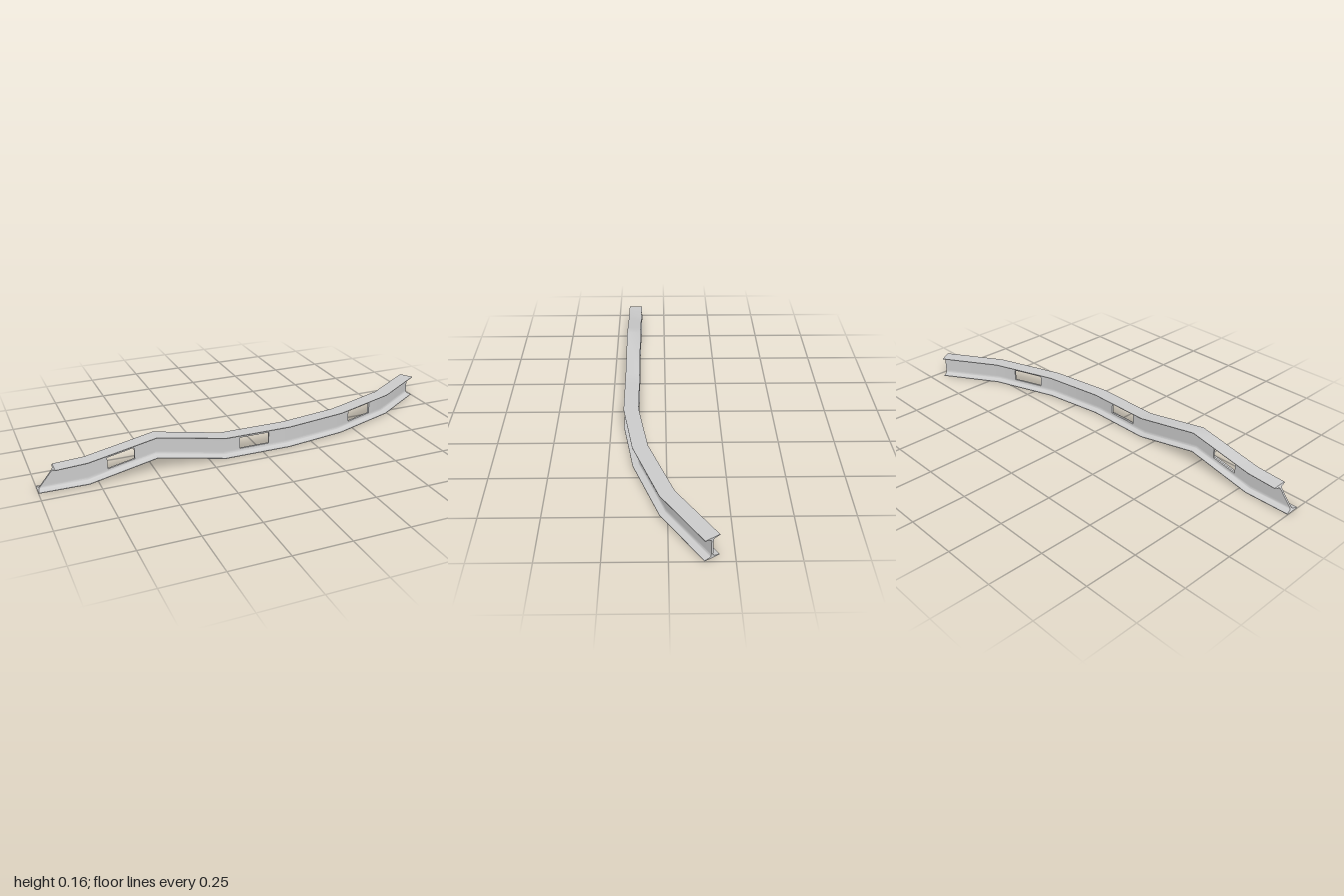
import * as THREE from 'three';
import { toCreasedNormals } from 'three/addons/utils/BufferGeometryUtils.js';

// Path of the beam: x, z of the centre line, bottom and top heights
const PATH = [
  [-1, 0.157, 0.002, 0.093],
  [-0.79, 0.157, 0, 0.1],
  [-0.49, 0.157, 0.063, 0.16],
  [-0.18, 0.157, 0, 0.1],
  [0.13, 0.157, 0, 0.1],
  [0.415, 0.112, 0, 0.1],
  [0.725, 0.002, 0, 0.1],
  [0.98, -0.162, 0, 0.1],
];
// Web openings: start x, end x
const HOLES = [[-0.703, -0.585], [-0.1, 0.04], [0.49, 0.635]];
const END_SLANT = 0.075;

// Half I-section (u across, v as a fraction of height), lower half then mirrored
const LOWER = [
  [0.034, 0], [0.034, 0.03], [0.014, 0.065], [0.0085, 0.085],
  [0.0055, 0.115], [0.0045, 0.16], [0.0045, 0.235],
];
const HALF = [...LOWER, ...LOWER.slice().reverse().map(([u, v]) => [u, 1 - v])];
const RING = [...HALF, ...HALF.slice().reverse().map(([u, v]) => [-u, v])];
const N = RING.length;
const WEB = LOWER.length - 1; // section edge that the openings cut through

// Horizontal normal of path segment i
function segmentNormal(i) {
  const a = PATH[i], b = PATH[i + 1];
  return new THREE.Vector2(-(b[1] - a[1]), b[0] - a[0]).normalize();
}

// Stations: mitred path corners plus the ends of each opening
function makeStations() {
  const stations = [];
  PATH.forEach((p, i) => {
    const last = PATH.length - 1;
    const n0 = segmentNormal(Math.max(i - 1, 0));
    const n1 = segmentNormal(Math.min(i, last - 1));
    const n = n0.clone().add(n1).normalize();
    n.divideScalar(n.dot(n1));
    stations.push({ p, n, slant: i === 0 ? END_SLANT : 0 });
    if (i === last) return;
    const q = PATH[i + 1];
    for (const [x0, x1] of HOLES) {
      if (x0 < p[0] || x1 > q[0]) continue;
      for (const x of [x0, x1]) {
        const t = (x - p[0]) / (q[0] - p[0]);
        const at = p.map((c, k) => c + (q[k] - c) * t);
        stations.push({ p: at, n: n1, slant: 0, holeStart: x === x0 });
      }
    }
  });
  return stations;
}

function beamGeometry() {
  const stations = makeStations();
  const rings = stations.map(({ p: [x, z, y0, y1], n, slant }) =>
    RING.map(([u, v]) => [x + n.x * u + slant * v, y0 + (y1 - y0) * v, z + n.y * u]));
  const pos = [];
  const quad = (a, b, c, d) => pos.push(...a, ...b, ...c, ...a, ...c, ...d);
  // Strip across the section at one height step; sign picks the way it faces
  const cross = (r, k, forward) => {
    const c = [r[N - 1 - k], r[N - 2 - k], r[k + 1], r[k]];
    quad(...(forward ? c : c.reverse()));
  };

  for (let s = 0; s < rings.length - 1; s++) {
    const a = rings[s], b = rings[s + 1];
    const open = stations[s].holeStart;
    for (let i = 0; i < N; i++) {
      if (open && (i === WEB || i === N - 2 - WEB)) continue;
      const j = (i + 1) % N;
      quad(a[i], b[i], b[j], a[j]);
    }
    // Walls of the opening
    if (open) {
      const lo = WEB, hi = WEB + 1;
      quad(a[lo], b[lo], b[N - 1 - lo], a[N - 1 - lo]);
      quad(a[N - 1 - hi], b[N - 1 - hi], b[hi], a[hi]);
      cross(a, WEB, true);
      cross(b, WEB, false);
    }
  }
  // End caps
  for (let k = 0; k < HALF.length - 1; k++) {
    cross(rings[0], k, false);
    cross(rings[rings.length - 1], k, true);
  }
  const g = new THREE.BufferGeometry();
  g.setAttribute('position', new THREE.Float32BufferAttribute(pos, 3));
  return toCreasedNormals(g, 0.65);
}

export function createModel() {
  const group = new THREE.Group();
  group.name = 'bentBeam';
  const material = new THREE.MeshStandardMaterial({ color: 0xcccccc });
  const beam = new THREE.Mesh(beamGeometry(), material);
  beam.name = 'flangedBeam';
  group.add(beam);
  return group;
}
